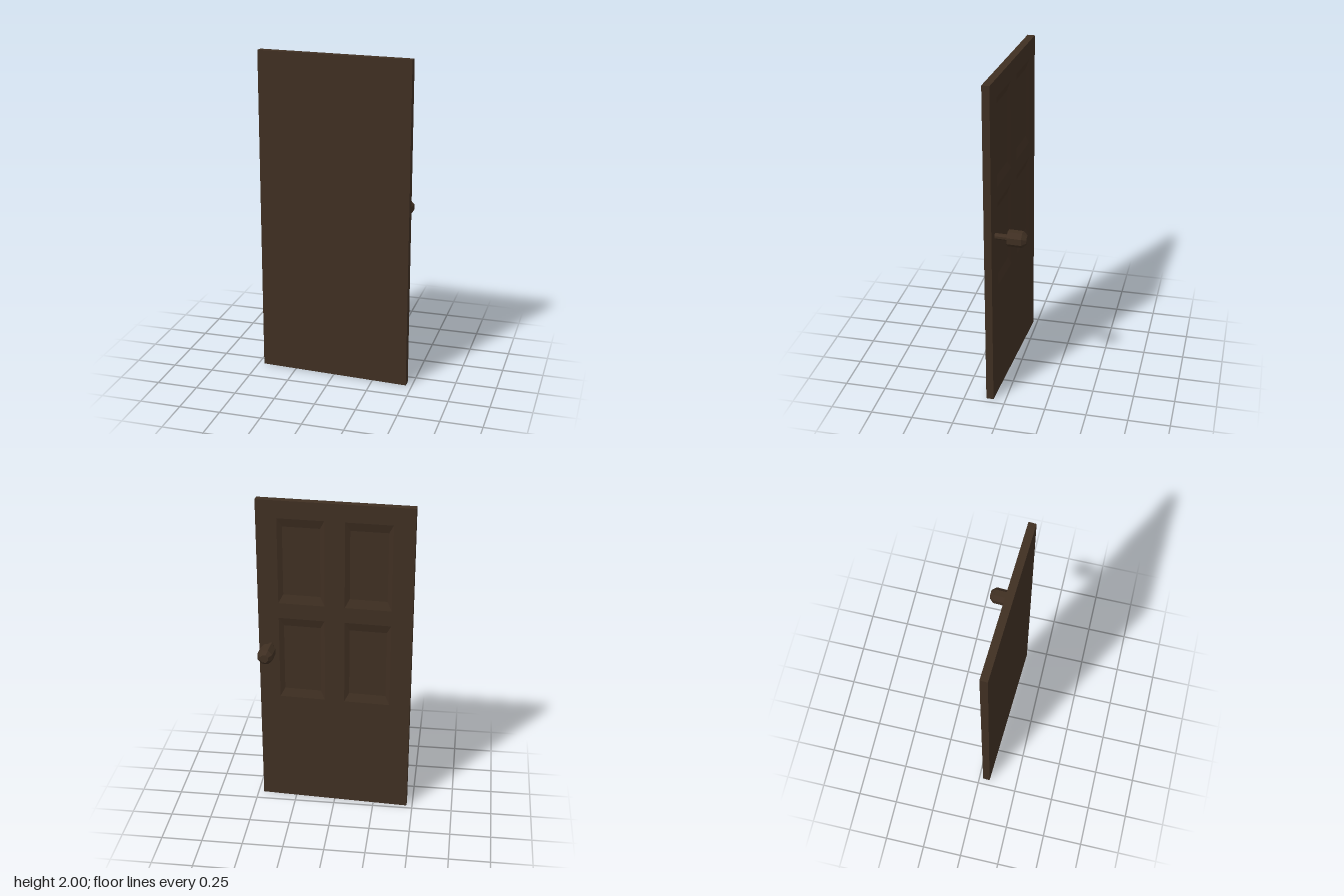
import * as THREE from 'three';

const W = 0.93, H = 2, T = 0.045;               // door leaf
const PANEL_W = 0.28, PANEL_H = 0.535, DEPTH = 0.015;
const INNER = 0.8;                              // recess floor size relative to its opening
const panelCentres = [];
for (const x of [-0.2, 0.2]) for (const y of [0.993, 1.625]) panelCentres.push([x, y]);

function rectangle(Type, cx, cy, w, h) {
  const p = new Type();
  p.moveTo(cx - w / 2, cy - h / 2);
  p.lineTo(cx + w / 2, cy - h / 2);
  p.lineTo(cx + w / 2, cy + h / 2);
  p.lineTo(cx - w / 2, cy + h / 2);
  p.closePath();
  return p;
}

export function createModel() {
  const wood = new THREE.MeshStandardMaterial({ color: 0x3f2f22, flatShading: true });
  const woodOpen = wood.clone();
  woodOpen.side = THREE.DoubleSide;

  const model = new THREE.Group();
  model.name = 'door';
  // The leaf stands slightly ajar
  const leaf = new THREE.Group();
  leaf.name = 'doorLeaf';
  leaf.position.z = 0.0715;
  leaf.rotation.y = -0.0515;
  model.add(leaf);

  const add = (name, geometry, material = wood) => {
    const mesh = new THREE.Mesh(geometry, material);
    mesh.name = name;
    leaf.add(mesh);
    return mesh;
  };

  // Plain front slab, whose back is the floor of the recesses
  add('slab', new THREE.BoxGeometry(W, H, T - DEPTH)).position.set(0, H / 2, DEPTH / 2);

  // Back layer with four openings
  const outline = rectangle(THREE.Shape, 0, H / 2, W, H);
  outline.holes = panelCentres.map(([x, y]) => rectangle(THREE.Path, x, y, PANEL_W, PANEL_H));
  add('panelFrame', new THREE.ExtrudeGeometry(outline, { depth: DEPTH, bevelEnabled: false }))
    .position.z = -T / 2;

  // Sloped sides of each recess
  const bevel = new THREE.CylinderGeometry(Math.SQRT1_2, Math.SQRT1_2 * INNER, 1, 4, 1, true);
  bevel.rotateY(Math.PI / 4).rotateX(-Math.PI / 2).scale(PANEL_W, PANEL_H, DEPTH);
  for (const [x, y] of panelCentres) {
    add('panelBevel', bevel, woodOpen).position.set(x, y, -T / 2 + DEPTH / 2);
  }

  // Eight-sided handle: shaft, knob and tapered tip along -z
  const handle = [
    ['handleShaft', 0.018, 0.018, 0.02, 0.104],
    ['handleKnob', 0.049, 0.049, 0.102, 0.187],
    ['handleTip', 0.049, 0.026, 0.187, 0.213],
  ];
  for (const [name, rNear, rFar, near, far] of handle) {
    const g = new THREE.CylinderGeometry(rFar, rNear, far - near, 8);
    g.rotateY(Math.PI / 8).rotateX(-Math.PI / 2);
    add(name, g).position.set(0.392, 1.075, -(near + far) / 2);
  }
  return model;
}
